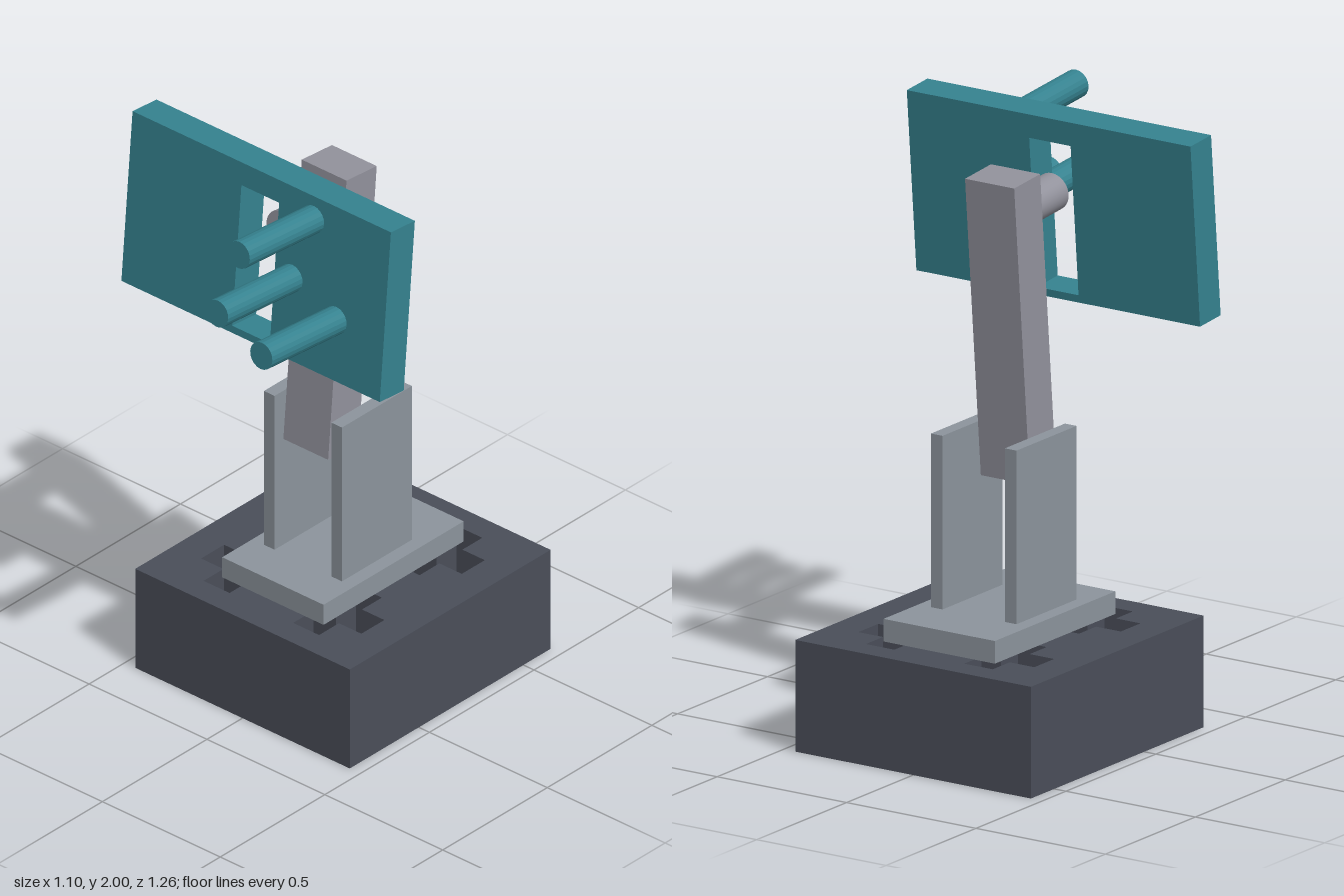
import * as THREE from 'three';

const mat = (name, color) => {
  const m = new THREE.MeshStandardMaterial({ color });
  m.name = name;
  return m;
};

export function createModel() {
  const model = new THREE.Group();
  model.name = 'signalStand';
  const charcoal = mat('charcoal', 0x4a4e59);
  const grey = mat('steel grey', 0x8c949c);
  const armGrey = mat('arm grey', 0x92929c);
  const teal = mat('teal', 0x35828f);
  const tealFlat = mat('teal faceted', 0x35828f);
  tealFlat.flatShading = true;
  const TILT = THREE.MathUtils.degToRad(-5);
  const BASE_Z = -0.15;

  const add = (parent, name, geometry, material, x, y, z) => {
    const mesh = new THREE.Mesh(geometry, material);
    mesh.name = name;
    mesh.position.set(x, y, z);
    parent.add(mesh);
    return mesh;
  };
  const rectPoints = (x0, x1, y0, y1) =>
    [[x0, y0], [x1, y0], [x1, y1], [x0, y1]].map(p => new THREE.Vector2(...p));
  const slab = (outline, holes, depth) => {
    const shape = new THREE.Shape(outline);
    holes.forEach(h => shape.holes.push(new THREE.Path(h)));
    return new THREE.ExtrudeGeometry(shape, { depth, bevelEnabled: false });
  };

  // Base block with four cross-shaped through holes
  const crossPoints = (cx, cy) => {
    const L = 0.15, w = 0.055;
    return [[-w, -L], [w, -L], [w, -w], [L, -w], [L, w], [w, w],
      [w, L], [-w, L], [-w, w], [-L, w], [-L, -w], [-w, -w]]
      .map(([x, y]) => new THREE.Vector2(cx + x, cy + y));
  };
  const crosses = [];
  for (const sx of [-1, 1]) for (const sz of [-1, 1]) crosses.push(crossPoints(sx * 0.19, sz * 0.24));
  const baseGeo = slab(rectPoints(-0.455, 0.455, -0.48, 0.48), crosses, 0.37).rotateX(-Math.PI / 2);
  add(model, 'base', baseGeo, charcoal, 0, 0, BASE_Z);

  // Mounting plate and the two bracket cheeks
  add(model, 'mountingPlate', new THREE.BoxGeometry(0.43, 0.075, 0.67), grey, 0, 0.4075, BASE_Z);
  for (const [side, s] of [['left', 1], ['right', -1]])
    add(model, side + 'Cheek', new THREE.BoxGeometry(0.045, 0.575, 0.334), grey,
      s * 0.143, 0.7325, -0.126);

  // Leaning arm between the cheeks
  add(model, 'arm', new THREE.BoxGeometry(0.19, 1.007, 0.145), armGrey, 0, 1.359, -0.0885)
    .rotation.x = TILT;

  // Tilted head: slotted panel, connecting rod and pegs
  const head = new THREE.Group();
  head.name = 'head';
  head.position.set(0, 1.69, 0.2075);
  head.rotation.x = TILT;
  model.add(head);

  const panelGeo = slab(rectPoints(-0.548, 0.548, -0.306, 0.306),
    [rectPoints(-0.08, 0.08, -0.281, 0.226)], 0.115);
  add(head, 'panel', panelGeo, teal, 0, 0, -0.0575);

  const rodGeo = new THREE.CylinderGeometry(0.0625, 0.0625, 0.215, 32).rotateX(Math.PI / 2);
  add(head, 'connectingRod', rodGeo, armGrey, 0, 0.058, -0.165);

  const pegGeo = new THREE.CylinderGeometry(0.047, 0.047, 0.36, 20).rotateX(Math.PI / 2);
  for (const [x, y] of [[0.224, 0.225], [0.151, -0.016], [0.344, -0.091]])
    add(head, 'peg', pegGeo, tealFlat, x, y, 0.234);

  return model;
}
